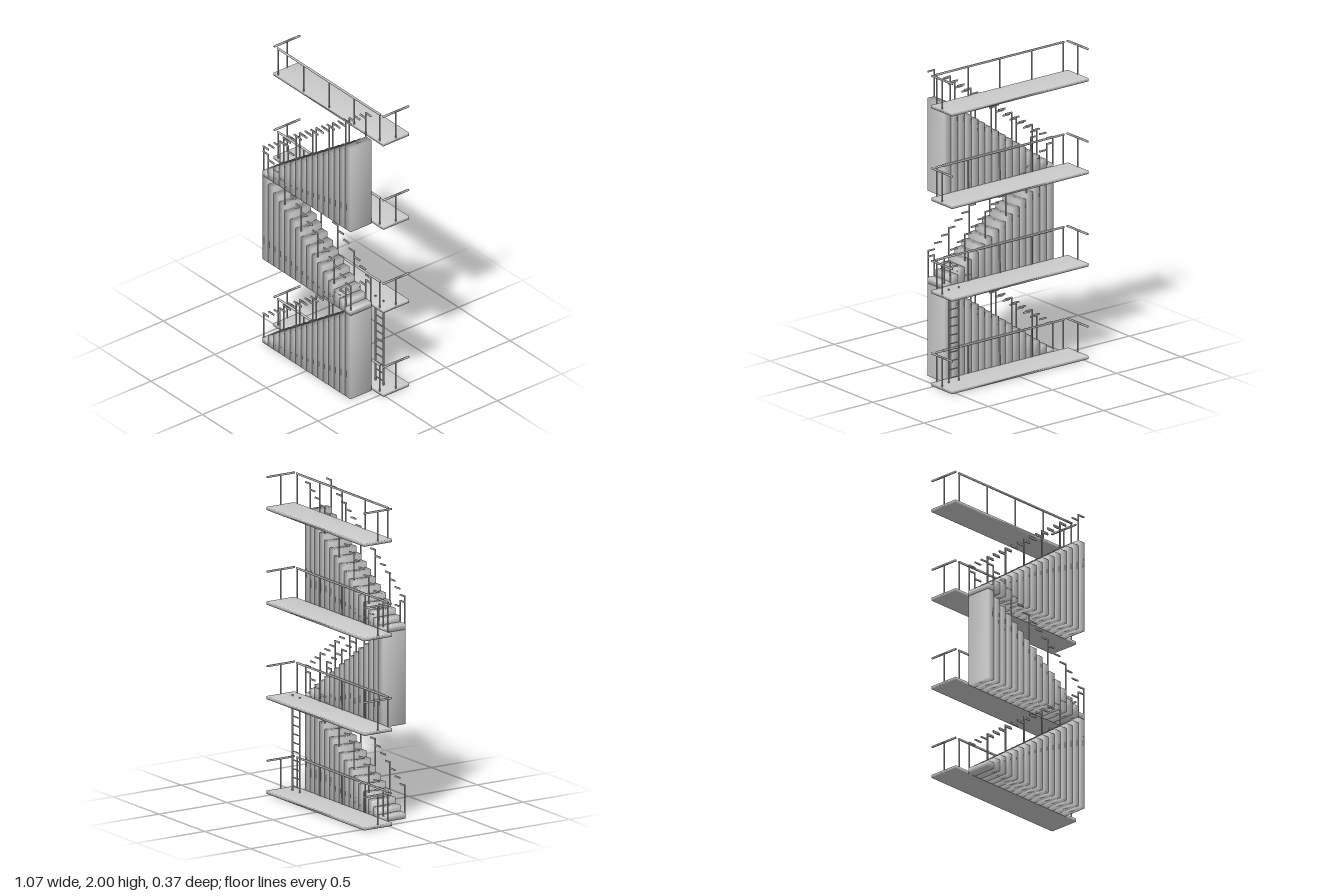
import * as THREE from 'three';
import { mergeVertices } from 'three/addons/utils/BufferGeometryUtils.js';

const mat = new THREE.MeshStandardMaterial({ color: 0xcccccc });
const RISE = 0.595;            // storey height
const STEPS = 16;
const RUN = 0.852 / STEPS;     // tread width
const STEP_H = RISE / STEPS;
const Z0 = 0.022, Z1 = 0.186;  // flight depth

// Box given by its limits, with normals averaged around the corners
function box(parent, name, x0, x1, y0, y1, z0, z1) {
  let geo = new THREE.BoxGeometry(x1 - x0, y1 - y0, z1 - z0);
  geo.deleteAttribute('normal');
  geo.deleteAttribute('uv');
  geo = mergeVertices(geo);
  geo.computeVertexNormals();
  const mesh = new THREE.Mesh(geo, mat);
  mesh.name = name;
  mesh.position.set((x0 + x1) / 2, (y0 + y1) / 2, (z0 + z1) / 2);
  parent.add(mesh);
  return mesh;
}

function post(parent, name, x, y0, y1, z, r = 0.0032) {
  box(parent, name, x - r, x + r, y0, y1, z - r, z + r);
}

// Landing with a front railing and a T-shaped rail at each end
function landing(y) {
  const g = new THREE.Group();
  g.name = 'landing';
  box(g, 'landingSlab', -0.532, 0.532, y + 0.002, y + 0.022, -0.187, 0.015);
  const top = y + 0.215;
  for (let i = 0; i < 5; i++) post(g, 'landingPost', -0.494 + i * 0.247, y + 0.02, top - 0.006, 0.011);
  box(g, 'frontRail', -0.5, 0.5, top - 0.01, top, 0.006, 0.016);
  for (const s of [-1, 1]) {
    post(g, 'endPost', s * 0.528, y + 0.02, top - 0.006, -0.086);
    box(g, 'endRail', s * 0.528 - 0.005, s * 0.528 + 0.005, top - 0.01, top, -0.187, 0.015);
  }
  return g;
}

// Solid flight of full-height columns; dir = 1 climbs towards +x, -1 towards -x
function flight(y, dir) {
  const g = new THREE.Group();
  g.name = 'flight';
  for (let i = 0; i < STEPS; i++) {
    const low = dir * (-0.426 + i * RUN), high = low + dir * RUN;
    const x0 = Math.min(low, high), x1 = Math.max(low, high);
    const top = y + (i + 1) * STEP_H;
    box(g, 'step', x0, x1, y, top, Z0, Z1);
    for (const z of [Z0 + 0.004, Z1 - 0.004]) {
      // One short handrail piece per step, a post on every third
      box(g, 'handrailPiece', x0, x1, top + 0.166, top + 0.175, z - 0.004, z + 0.004);
      if (i % 3 === 0) post(g, 'handrailPost', low + dir * 0.003, top, top + 0.17, z);
    }
  }
  return g;
}

function ladder() {
  const g = new THREE.Group();
  g.name = 'ladder';
  const xa = 0.372, xb = 0.45, z = -0.052;
  for (const x of [xa, xb]) post(g, 'ladderRail', x, 0.02, 0.625, z, 0.004);
  for (let i = 0; i < 11; i++) {
    const y = 0.05 + i * 0.055;
    box(g, 'ladderRung', xa, xb, y - 0.003, y + 0.003, z - 0.003, z + 0.003);
  }
  return g;
}

export function createModel() {
  const model = new THREE.Group();
  model.name = 'stairTower';
  for (let i = 0; i < 4; i++) model.add(landing(i * RISE));
  for (let i = 0; i < 3; i++) model.add(flight(i * RISE, i % 2 ? -1 : 1));
  model.add(ladder());
  return model;
}
